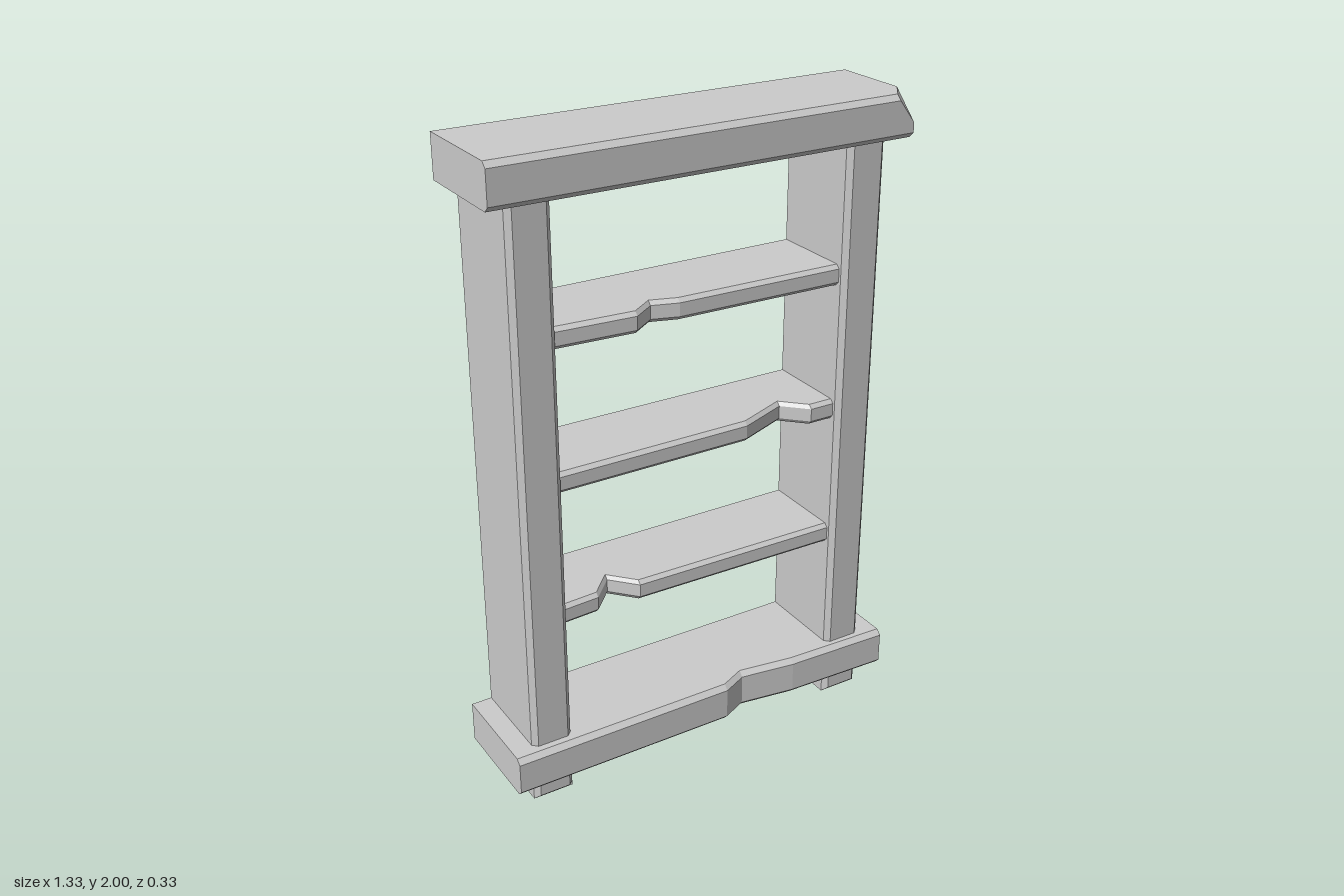
import * as THREE from 'three';

const BACK = -0.167;
const material = new THREE.MeshStandardMaterial({ color: 0xcccccc, flatShading: true });

// Joins equal-sized convex rings (counter-clockwise about the direction of travel) and caps both ends.
function loft(name, rings) {
  const pos = [];
  const tri = (a, b, c) => pos.push(...a, ...b, ...c);
  const n = rings[0].length;
  for (let i = 0; i + 1 < rings.length; i++) {
    const r = rings[i], s = rings[i + 1];
    for (let j = 0; j < n; j++) {
      const k = (j + 1) % n;
      tri(r[j], r[k], s[k]);
      tri(r[j], s[k], s[j]);
    }
  }
  const first = rings[0], last = rings[rings.length - 1];
  for (let k = 1; k + 1 < n; k++) {
    tri(first[0], first[k + 1], first[k]);
    tri(last[0], last[k], last[k + 1]);
  }
  const geometry = new THREE.BufferGeometry();
  geometry.setAttribute('position', new THREE.Float32BufferAttribute(pos, 3));
  geometry.computeVertexNormals();
  const mesh = new THREE.Mesh(geometry, material);
  mesh.name = name;
  return mesh;
}

// Cross-section of a board at x: flat back, front edge chamfered above and below.
const boardRing = (x, front, y0, y1, c) => [
  [x, y0, BACK], [x, y1, BACK], [x, y1, front - c],
  [x, y1 - c, front], [x, y0 + c, front], [x, y0, front - c],
];

// A board along x whose front edge follows the worn outline [x, z].
const board = (name, outline, y0, y1, c) =>
  loft(name, outline.map(([x, z]) => boardRing(x, z, y0, y1, c)));

// An upright with chamfered front corners and a bevelled front toe.
function post(name, x0, x1) {
  const c = 0.016, front = 0.13;
  const ring = (y, z) => [
    [x1, y, BACK], [x0, y, BACK], [x0, y, front - c],
    [x0 + c, y, z], [x1 - c, y, z], [x1, y, front - c],
  ];
  return loft(name, [ring(0, front - c), ring(c, front), ring(1.87, front)]);
}

export function createModel() {
  const group = new THREE.Group();
  group.name = 'bookshelf';

  // Uprights
  group.add(post('leftPost', 0.47, 0.6), post('rightPost', -0.6, -0.47));

  // Top board with one front corner broken off
  const broken = boardRing(0.665, 0.167, 1.87, 2, 0.016);
  broken[2] = [0.665, 2, 0.08];
  broken[3] = [0.665, 1.915, 0.167];
  group.add(loft('topBoard', [
    boardRing(-0.665, 0.167, 1.87, 2, 0.016),
    boardRing(0.612, 0.167, 1.87, 2, 0.016),
    broken,
  ]));

  // Base board with a shallow dent
  group.add(board('baseBoard',
    [[-0.665, 0.167], [0.06, 0.167], [0.14, 0.13], [0.32, 0.156], [0.665, 0.167]],
    0.07, 0.2, 0.016));

  // Shelves with chipped front edges
  const shelves = [
    ['lowerShelf', 0.57, [[-0.47, 0.1], [-0.35, 0.092], [-0.28, 0.018], [-0.21, 0.096], [0.47, 0.105]]],
    ['middleShelf', 1.005, [[-0.47, 0.105], [0.16, 0.1], [0.32, 0.035], [0.39, 0.105], [0.47, 0.105]]],
    ['upperShelf', 1.44, [[-0.47, 0.105], [-0.22, 0.12], [-0.15, 0.07], [-0.07, 0.095], [0.47, 0.105]]],
  ];
  for (const [name, y, outline] of shelves) group.add(board(name, outline, y, y + 0.065, 0.012));

  return group;
}
